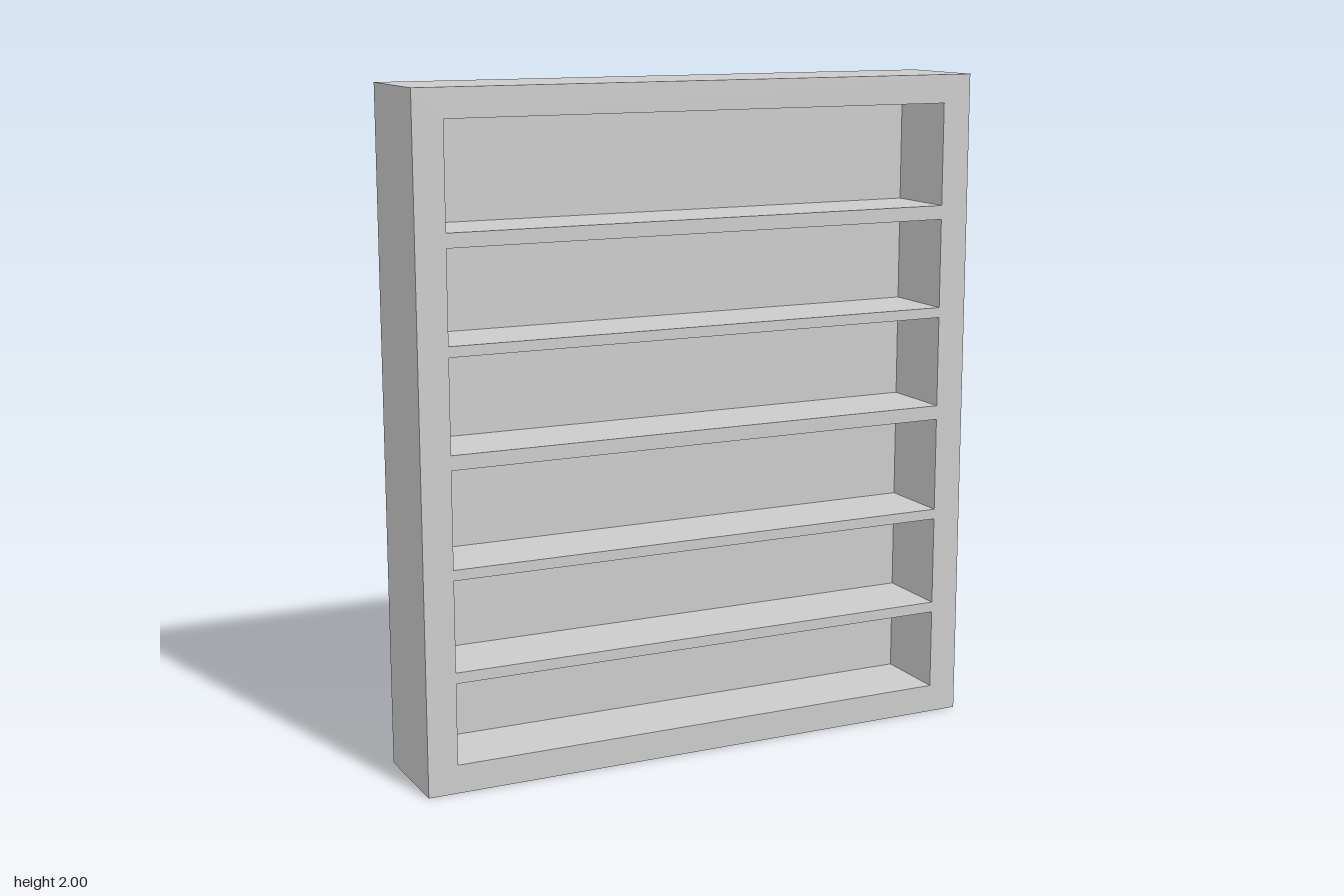
import * as THREE from 'three';

const HALF_W = 0.882, HEIGHT = 2, HALF_D = 0.157;
const OPEN_HALF_W = 0.792, BACK_T = 0.075;
// bottom and top of each compartment, lowest first
const BAYS = [[0.085, 0.328], [0.36, 0.63], [0.661, 0.947], [0.99, 1.265], [1.296, 1.566], [1.608, 1.915]];

function rect(Type, hw, y0, y1) {
  const p = new Type();
  p.moveTo(-hw, y0);
  p.lineTo(hw, y0);
  p.lineTo(hw, y1);
  p.lineTo(-hw, y1);
  p.closePath();
  return p;
}

export function createModel() {
  const group = new THREE.Group();
  group.name = 'shelfUnit';
  const material = new THREE.MeshStandardMaterial({ color: 0xcccccc });

  // Sides, top, base and shelves: one slab pierced by the compartments
  const outline = rect(THREE.Shape, HALF_W, 0, HEIGHT);
  for (const [y0, y1] of BAYS) outline.holes.push(rect(THREE.Path, OPEN_HALF_W, y0, y1));
  const frame = new THREE.Mesh(
    new THREE.ExtrudeGeometry(outline, { depth: 2 * HALF_D - BACK_T, bevelEnabled: false }), material);
  frame.name = 'frameWithShelves';
  frame.position.z = -HALF_D + BACK_T;
  group.add(frame);

  // Solid back closing the compartments
  const back = new THREE.Mesh(new THREE.BoxGeometry(2 * HALF_W, HEIGHT, BACK_T), material);
  back.name = 'backPanel';
  back.position.set(0, HEIGHT / 2, -HALF_D + BACK_T / 2);
  group.add(back);

  return group;
}
